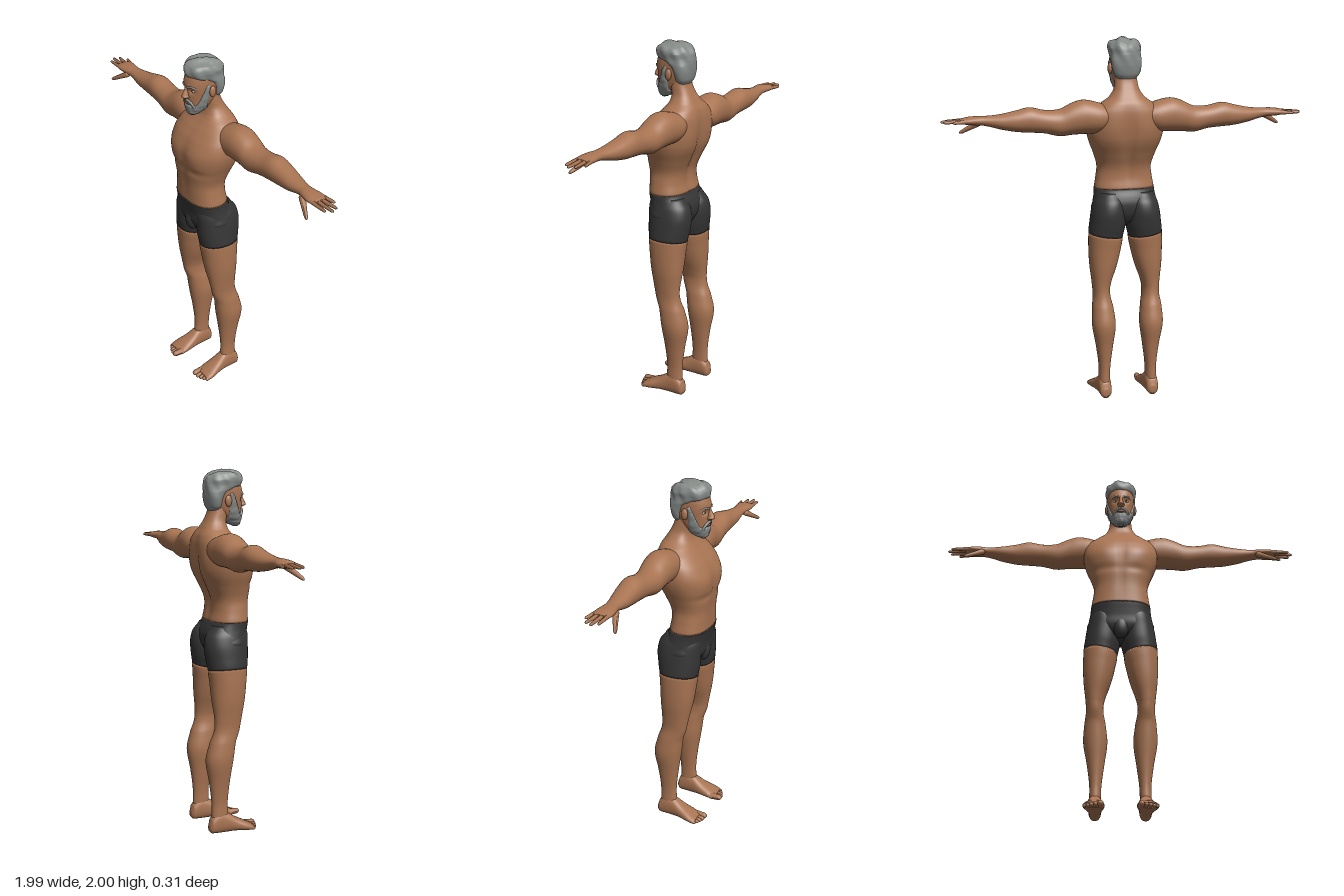
import * as THREE from 'three';

const flat = (name, color) => Object.assign(new THREE.MeshStandardMaterial({ color }), { name });
const bump = (d, w) => Math.exp(-(d * d) / (w * w));
const clamp = THREE.MathUtils.clamp;

// Smooth skin through cross-sections [t, u0, u1, v0, v1] along an axis (t increasing)
const AXES = { y: (t, u, v) => [u, t, v], x: (t, u, v) => [t, v, u], z: (t, u, v) => [v, u, t] };
function loft(rows, axis, { p = 2, seg = 36, sub = 5, warp } = {}) {
  const pos = [], index = [], rings = [];
  const at = (i) => rows[clamp(i, 0, rows.length - 1)];
  for (let i = 0; i < rows.length - 1; i++) {
    for (let s = 0; s < sub; s++) {
      const f = s / sub;
      rings.push(rows[0].map((_, c) => {
        const [a, b, d, e] = [at(i - 1)[c], at(i)[c], at(i + 1)[c], at(i + 2)[c]];
        if (c === 0) return b + (d - b) * f;
        return b + 0.5 * f * (d - a + f * (2 * a - 5 * b + 4 * d - e + f * (3 * (b - d) + e - a)));
      }));
    }
  }
  rings.push(at(rows.length));
  const put = (t, u, v) => {
    const q = new THREE.Vector3(...AXES[axis](t, u, v));
    if (warp) warp(q);
    pos.push(q.x, q.y, q.z);
  };
  const pow = (c) => Math.sign(c) * Math.abs(c) ** (2 / p);
  rings.forEach(([t, u0, u1, v0, v1]) => {
    for (let j = 0; j < seg; j++) {
      const a = (j / seg) * Math.PI * 2;
      put(t, (u0 + u1) / 2 + (u1 - u0) / 2 * pow(Math.cos(a)), (v0 + v1) / 2 + (v1 - v0) / 2 * pow(Math.sin(a)));
    }
  });
  const n = rings.length, first = n * seg;
  [rings[0], rings[n - 1]].forEach(([t, u0, u1, v0, v1]) => put(t, (u0 + u1) / 2, (v0 + v1) / 2));
  for (let j = 0; j < seg; j++) {
    const k = (j + 1) % seg;
    for (let i = 0; i < n - 1; i++) {
      const a = i * seg + j, b = i * seg + k;
      index.push(a, a + seg, b, b, a + seg, b + seg);
    }
    index.push(first, j, k, first + 1, (n - 1) * seg + k, (n - 1) * seg + j);
  }
  const g = new THREE.BufferGeometry();
  g.setAttribute('position', new THREE.Float32BufferAttribute(pos, 3));
  g.setIndex(index);
  g.computeVertexNormals();
  return g;
}

function ball(x, y, z, rx, ry, rz) {
  return new THREE.SphereGeometry(1, 20, 14).scale(rx, ry, rz).translate(x, y, z);
}

// Tapered rounded digit from a to b
function digit(a, b, r, tip = 0.6) {
  const A = new THREE.Vector3(...a), d = new THREE.Vector3(...b).sub(A), len = d.length();
  const g = new THREE.CapsuleGeometry(r, len - r, 5, 12, 4).translate(0, len / 2, 0);
  const P = g.attributes.position;
  for (let i = 0; i < P.count; i++) {
    const k = 1 - (1 - tip) * clamp(P.getY(i) / len, 0, 1);
    P.setX(i, P.getX(i) * k);
    P.setZ(i, P.getZ(i) * k);
  }
  g.computeVertexNormals();
  g.applyQuaternion(new THREE.Quaternion().setFromUnitVectors(new THREE.Vector3(0, 1, 0), d.normalize()));
  return g.translate(...a);
}

function mirrored(g) {
  const m = g.clone().scale(-1, 1, 1), ix = m.index.array;
  for (let i = 0; i < ix.length; i += 3) [ix[i], ix[i + 1]] = [ix[i + 1], ix[i]];
  return m;
}

export function createModel() {
  const model = new THREE.Group();
  model.name = 'man';
  const skin = flat('skin', 0xa87452), hair = flat('greyHair', 0x878c89), cloth = flat('darkCloth', 0x353535);
  const dark = flat('darkIris', 0x2a1c14), white = flat('eyeWhite', 0xcfc4b8), lip = flat('lips', 0x8a5642);
  const add = (name, g, mat) => {
    const mesh = new THREE.Mesh(g, mat);
    mesh.name = name;
    model.add(mesh);
  };
  const pair = (name, g, mat) => {
    add('left' + name, g, mat);
    add('right' + name, mirrored(g), mat);
  };
  // Symmetric sections about x = 0
  const sym = (rows) => rows.map(([t, x, z0, z1]) => [t, -x, x, z0, z1]);

  // Torso and neck, with chest, belly, shoulder blade and spine relief
  add('torso', loft(sym([
    [1.18, 0.165, -0.085, 0.13], [1.24, 0.155, -0.075, 0.131], [1.3, 0.15, -0.08, 0.134],
    [1.37, 0.17, -0.108, 0.143], [1.44, 0.197, -0.137, 0.148], [1.5, 0.21, -0.148, 0.143],
    [1.56, 0.205, -0.152, 0.118], [1.61, 0.185, -0.15, 0.08], [1.65, 0.14, -0.14, 0.045],
    [1.68, 0.098, -0.122, 0.025], [1.72, 0.07, -0.098, 0.018], [1.77, 0.061, -0.076, 0.03], [1.82, 0.056, -0.07, 0.03],
  ]), 'y', {
    p: 2.4, seg: 64, sub: 6, warp: (q) => {
      const x = Math.abs(q.x), y = q.y;
      if (q.z > 0.02) {
        q.z += 0.008 * bump(x - 0.095, 0.06) * bump(y - 1.47, 0.06) - 0.007 * bump(x, 0.02) * bump(y - 1.42, 0.17);
        q.z -= 0.006 * bump(y - 1.385, 0.02) * bump(x - 0.09, 0.07);
      } else if (q.z < -0.04) {
        q.z += 0.018 * bump(x, 0.025) * bump(y - 1.4, 0.2) - 0.008 * bump(x - 0.1, 0.05) * bump(y - 1.5, 0.09);
      }
    },
  }), skin);

  // Arms, hands and digits
  pair('Arm', loft([
    [0.08, -0.13, 0, 1.53, 1.63], [0.16, -0.145, 0.03, 1.495, 1.657], [0.24, -0.142, 0.03, 1.49, 1.672],
    [0.3, -0.137, 0.025, 1.488, 1.657], [0.37, -0.13, 0.02, 1.482, 1.625], [0.45, -0.125, 0.01, 1.5, 1.624],
    [0.53, -0.125, 0.005, 1.507, 1.64], [0.6, -0.12, 0, 1.513, 1.625], [0.68, -0.105, -0.002, 1.527, 1.608],
    [0.76, -0.086, -0.01, 1.547, 1.6], [0.8, -0.085, -0.002, 1.552, 1.6], [0.85, -0.093, 0.005, 1.555, 1.597],
    [0.885, -0.09, 0, 1.562, 1.59], [0.895, -0.08, -0.01, 1.568, 1.586],
  ], 'x', { p: 2.1 }), skin);
  [[-0.08, 0.93, -0.098], [-0.058, 0.975, -0.072], [-0.034, 0.988, -0.04], [-0.01, 0.965, -0.01]].forEach(([z, x, tipZ], i) =>
    pair('Finger' + (i + 1), digit([0.86, 1.576, z], [x, 1.573, tipZ], 0.0125), skin));
  pair('Thumb', digit([0.79, 1.562, -0.015], [0.885, 1.506, 0.032], 0.018, 0.5), skin);

  // Legs: one profile split at the hem of the shorts
  const leg = [
    [0.04, 0.105, 0.165, -0.12, -0.02], [0.1, 0.103, 0.165, -0.116, -0.02], [0.18, 0.1, 0.165, -0.116, -0.022],
    [0.3, 0.085, 0.18, -0.13, -0.01], [0.42, 0.07, 0.2, -0.148, 0.008], [0.52, 0.08, 0.195, -0.125, 0.022],
    [0.58, 0.092, 0.187, -0.103, 0.043], [0.64, 0.088, 0.19, -0.098, 0.055], [0.75, 0.052, 0.202, -0.108, 0.077],
    [0.85, 0.028, 0.206, -0.114, 0.09], [0.92, 0.018, 0.205, -0.12, 0.097], [0.98, 0.004, 0.199, -0.131, 0.105],
    [1.05, 0.001, 0.19, -0.138, 0.108], [1.11, 0.005, 0.176, -0.126, 0.11], [1.16, 0.02, 0.155, -0.09, 0.1],
  ];
  const tilt = (q) => { q.y += (q.x - 0.11) * 0.14 * bump(q.y - 0.92, 0.06); };
  pair('Leg', loft(leg.slice(0, 11), 'y', { p: 2.15, warp: tilt }), skin);
  pair('ShortsLeg', loft(leg.slice(10), 'y', { p: 2.15, warp: tilt }), cloth);
  add('shortsHips', loft(sym([
    [0.975, 0.03, -0.04, 0.05], [1, 0.09, -0.08, 0.09], [1.05, 0.182, -0.108, 0.112],
    [1.1, 0.178, -0.114, 0.117], [1.14, 0.17, -0.104, 0.124], [1.18, 0.166, -0.086, 0.131],
  ]), 'y', { p: 2.4, seg: 64 }), cloth);
  add('shortsFront', ball(0, 1.04, 0.085, 0.045, 0.065, 0.037), cloth);

  // Feet and toes
  pair('Foot', loft([
    [-0.132, 0.015, 0.055, 0.118, 0.152], [-0.12, 0.003, 0.09, 0.103, 0.166], [-0.08, 0, 0.125, 0.098, 0.17],
    [-0.03, 0, 0.115, 0.095, 0.173], [0.02, 0.002, 0.083, 0.088, 0.183], [0.07, 0, 0.058, 0.083, 0.195],
    [0.105, 0.001, 0.04, 0.085, 0.197], [0.12, 0.005, 0.032, 0.09, 0.19],
  ], 'z', { p: 2.3 }), skin);
  [[0.102, 0.15, 0.019], [0.127, 0.148, 0.014], [0.148, 0.14, 0.013], [0.167, 0.131, 0.012], [0.184, 0.12, 0.011]].forEach(([x, z, r], i) =>
    pair('Toe' + (i + 1), digit([x, 0.022, 0.085], [x + 0.003, r + 0.003, z], r, 0.85), skin));

  // Head, with eye sockets
  const headRows = sym([
    [1.694, 0.016, 0.06, 0.088], [1.705, 0.03, 0.035, 0.1], [1.73, 0.048, 0, 0.108], [1.765, 0.062, -0.045, 0.112],
    [1.81, 0.071, -0.075, 0.115], [1.855, 0.076, -0.085, 0.121], [1.9, 0.076, -0.085, 0.113],
    [1.94, 0.066, -0.07, 0.095], [1.97, 0.035, -0.03, 0.06],
  ]);
  const face = (q) => {
    if (q.z > 0.05) q.z -= 0.016 * bump(Math.abs(q.x) - 0.031, 0.017) * bump(q.y - 1.838, 0.014);
  };
  add('head', loft(headRows, 'y', { p: 2.2, seg: 64, sub: 6, warp: face }), skin);
  add('nose', loft([
    [1.792, -0.012, 0.012, 0.1, 0.124], [1.802, -0.02, 0.02, 0.1, 0.144], [1.815, -0.015, 0.015, 0.1, 0.143],
    [1.84, -0.009, 0.009, 0.1, 0.13], [1.862, -0.01, 0.01, 0.1, 0.122],
  ], 'y', { seg: 20 }), skin);
  pair('Ear', ball(0.08, 1.83, 0.008, 0.012, 0.031, 0.019).rotateY(0), skin);
  pair('Eye', ball(0.031, 1.837, 0.095, 0.013, 0.008, 0.009), white);
  pair('Iris', ball(0.031, 1.837, 0.101, 0.005, 0.006, 0.004), dark);
  add('mouth', ball(0, 1.763, 0.111, 0.021, 0.006, 0.008), lip);

  // Beard: the head's own surface, raised over the jaw and sunk elsewhere
  add('beard', loft(headRows, 'y', {
    p: 2.2, seg: 80, sub: 10, warp: (q) => {
      const line = 1.757 + 0.115 * clamp((0.085 - q.z) / 0.045, 0, 1);
      const d = Math.min(line - q.y, (q.z - 0.022 + 0.5 * Math.max(0, 1.75 - q.y)) * 0.8);
      const grow = clamp(d, -0.012, 0.008) + (d > 0 ? 0.0015 * Math.sin(q.x * 260) * Math.sin(q.y * 90) : 0);
      const out = new THREE.Vector3(q.x, 0, q.z - 0.02).normalize().multiplyScalar(grow);
      q.add(out);
      if (q.y < 1.72) q.y -= 0.004;
    },
  }), hair);
  const strand = (pts, r) => new THREE.TubeGeometry(new THREE.CatmullRomCurve3(pts.map((a) => new THREE.Vector3(...a))), 14, r, 8);
  pair('Moustache', strand([[0, 1.783, 0.117], [0.02, 1.778, 0.113], [0.036, 1.762, 0.104], [0.042, 1.745, 0.096]], 0.0075), hair);
  pair('Eyebrow', strand([[0.012, 1.857, 0.119], [0.033, 1.864, 0.112], [0.054, 1.856, 0.091]], 0.0055), hair);

  // Swept hair, low at the nape and full over the brow
  add('hair', loft(sym([
    [1.77, 0.045, -0.07, -0.02], [1.8, 0.068, -0.086, -0.008], [1.84, 0.08, -0.094, 0], [1.875, 0.083, -0.097, 0.025],
    [1.9, 0.083, -0.098, 0.085], [1.915, 0.084, -0.097, 0.112], [1.945, 0.088, -0.091, 0.116],
    [1.97, 0.077, -0.07, 0.105], [1.984, 0.054, -0.04, 0.085], [1.992, 0.02, -0.005, 0.05],
  ]), 'y', {
    p: 2.2, seg: 72, sub: 6, warp: (q) => {
      const a = Math.atan2(q.x, q.z), k = 1 + 0.025 * Math.sin(a * 9 + q.y * 50) * clamp((q.y - 1.82) * 10, 0, 1);
      q.x *= k;
      q.z = 0.01 + (q.z - 0.01) * k;
      q.y += q.y > 1.94 ? 0.005 * Math.sin(q.x * 75 + q.z * 30) : 0;
    },
  }), hair);
  return model;
}
